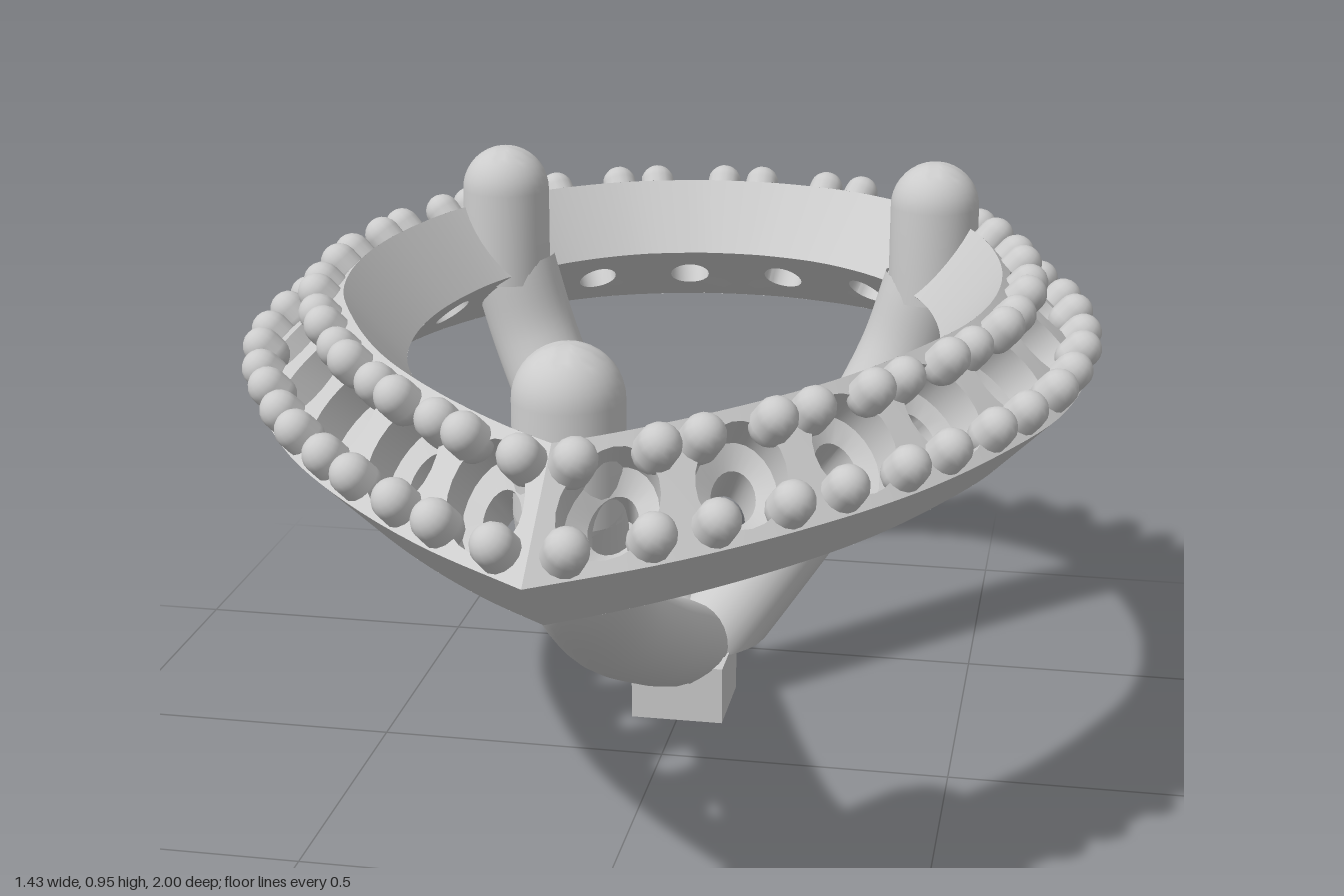
import * as THREE from 'three';
import { toCreasedNormals } from 'three/addons/utils/BufferGeometryUtils.js';

const CELLS = 11; // stone seats along each half of the halo
const V = (x, y, z) => new THREE.Vector3(x, y, z);
const grey = new THREE.MeshStandardMaterial({ color: 0xcccccc, side: THREE.DoubleSide });

// Half of the pear outline, from the front point round to the back
const outline = new THREE.CatmullRomCurve3([
  [0, 1], [0.17, 0.87], [0.33, 0.71], [0.47, 0.53], [0.58, 0.33], [0.66, 0.13], [0.695, -0.1],
  [0.68, -0.33], [0.61, -0.57], [0.48, -0.77], [0.29, -0.915], [0.1, -0.975], [0, -0.982],
].map(([x, z]) => V(x, 0, z)));

// Outline moved inward by d at height y, mitred where it meets x = 0
function rail(d, y) {
  const pts = [];
  for (let i = 0; i <= 80; i++) {
    const p = outline.getPoint(i / 80), t = outline.getTangent(i / 80);
    if (i === 80) t.set(-1, 0, 0);
    pts.push(V(p.x + t.z * d, y, p.z - t.x * d));
  }
  const kept = pts.filter((p, i) => i < 80 && p.x > 0.004);
  const [a, b] = kept;
  const tip = V(0, y, a.z + (a.z - b.z) * a.x / (b.x - a.x));
  const curve = new THREE.CatmullRomCurve3([tip, ...kept, V(0, y, pts[80].z)], false, 'centripetal');
  curve.arcLengthDivisions = 800;
  return curve;
}

const outer = rail(0, 0.7), bottom = rail(0.1, 0.6), inner = rail(0.25, 0.72), top = rail(0.15, 0.84);

// Point in the halo: u along it, v from outer to inner edge, w from upper to lower face
function at(u, v, w) {
  u = THREE.MathUtils.clamp(u, 0, 1);
  const up = outer.getPointAt(u).lerp(top.getPointAt(u), v);
  const low = bottom.getPointAt(u).lerp(inner.getPointAt(u), v);
  return up.lerp(low, w);
}

function haloGeometry() {
  const pos = [];
  const quad = (a, b, c, d) => {
    for (const p of [a, b, c, a, c, d]) pos.push(p.x, p.y, p.z); // right half
    for (const p of [a, c, b, a, d, c]) pos.push(-p.x, p.y, p.z); // mirrored half
  };
  // Plain inner and outer walls
  const n = CELLS * 6;
  for (const [lo, hi] of [[top, inner], [bottom, outer]]) {
    for (let i = 0; i < n; i++) {
      quad(lo.getPointAt(i / n), lo.getPointAt((i + 1) / n), hi.getPointAt((i + 1) / n), hi.getPointAt(i / n));
    }
  }
  // Stone seats: square edge, wide recess, ledge, narrow hole, square edge below
  const N = 24;
  const rings = [[0, 0], [0.37, 0], [0.37, 0.4], [0.2, 0.5], [0.2, 1], [0, 1]];
  for (let c = 0; c < CELLS; c++) {
    const loops = rings.map(([r, w]) => Array.from({ length: N }, (_, j) => {
      const cs = Math.cos(j / N * 2 * Math.PI), sn = Math.sin(j / N * 2 * Math.PI);
      const k = r || 0.5 / Math.max(Math.abs(cs), Math.abs(sn));
      return at((c + 0.5 + k * cs) / CELLS, 0.5 + k * sn * (r ? 1.08 : 1), w);
    }));
    for (let i = 0; i < rings.length - 1; i++) {
      for (let j = 0; j < N; j++) {
        const m = (j + 1) % N;
        quad(loops[i][j], loops[i][m], loops[i + 1][m], loops[i + 1][j]);
      }
    }
  }
  const g = new THREE.BufferGeometry();
  g.setAttribute('position', new THREE.Float32BufferAttribute(pos, 3));
  return toCreasedNormals(g, 0.5);
}

function add(parent, name, geometry, x = 0, y = 0, z = 0) {
  const mesh = new THREE.Mesh(geometry, grey);
  mesh.name = name;
  mesh.position.set(x, y, z);
  parent.add(mesh);
  return mesh;
}

// Round strut, cut flat where it meets the base
function strut(points) {
  const curve = new THREE.CatmullRomCurve3(points.map((p) => V(...p)));
  const g = new THREE.TubeGeometry(curve, 40, 0.08, 28);
  const p = g.attributes.position;
  for (let i = 0; i < p.count; i++) p.setY(i, Math.max(p.getY(i), 0.1));
  return toCreasedNormals(g, 0.6);
}

export function createModel() {
  const model = new THREE.Group();
  model.name = 'pearHaloSetting';
  add(model, 'halo', haloGeometry());

  // Four small holding beads round every stone seat
  const beads = new THREE.Group();
  beads.name = 'beads';
  model.add(beads);
  const beadGeometry = new THREE.CapsuleGeometry(0.032, 0.02, 5, 14);
  for (let c = 0; c < CELLS; c++) {
    const u = (c + 0.5) / CELLS;
    for (const v of [0.17, 0.8]) {
      const along = at(u + 0.01, v, 0).sub(at(u - 0.01, v, 0));
      const step = 0.064 * 0.02 / along.length();
      for (const s of [-1, 1]) {
        const p = at(u + s * step, v, 0);
        const t = at(u + s * step + 0.004, v, 0).sub(at(u + s * step - 0.004, v, 0));
        const normal = t.cross(at(u, 1, 0).sub(at(u, 0, 0))).normalize();
        p.addScaledVector(normal, 0.012);
        for (const side of [1, -1]) {
          const bead = add(beads, 'bead', beadGeometry, side * p.x, p.y, p.z);
          bead.quaternion.setFromUnitVectors(V(0, 1, 0), V(side * normal.x, normal.y, normal.z));
        }
      }
    }
  }

  // Domed prongs
  const prong = new THREE.CapsuleGeometry(0.08, 0.17, 10, 32);
  const pv = prong.attributes.position;
  for (let i = 0; i < pv.count; i++) pv.setY(i, Math.max(pv.getY(i), -0.085)); // flat lower end
  for (const [name, x, z] of [['frontProng', 0, 0.705], ['leftProng', 0.4, -0.56], ['rightProng', -0.4, -0.56]]) {
    add(model, name, toCreasedNormals(prong, 0.6), x, 0.785, z);
  }

  // Curved struts rising from the base to the prongs
  add(model, 'frontStrut', strut([[0, 0.09, -0.28], [0, 0.155, -0.14], [0, 0.285, 0.15],
    [0, 0.46, 0.49], [0, 0.59, 0.65], [0, 0.72, 0.71]]));
  for (const [name, s] of [['leftStrut', 1], ['rightStrut', -1]]) {
    add(model, name, strut([[0, 0.06, -0.26], [s * 0.11, 0.2, -0.36], [s * 0.24, 0.38, -0.48],
      [s * 0.345, 0.58, -0.56], [s * 0.39, 0.72, -0.57]]));
  }

  // Square base block
  add(model, 'base', new THREE.BoxGeometry(0.165, 0.105, 0.165), 0, 0.0525, -0.23);
  return model;
}
